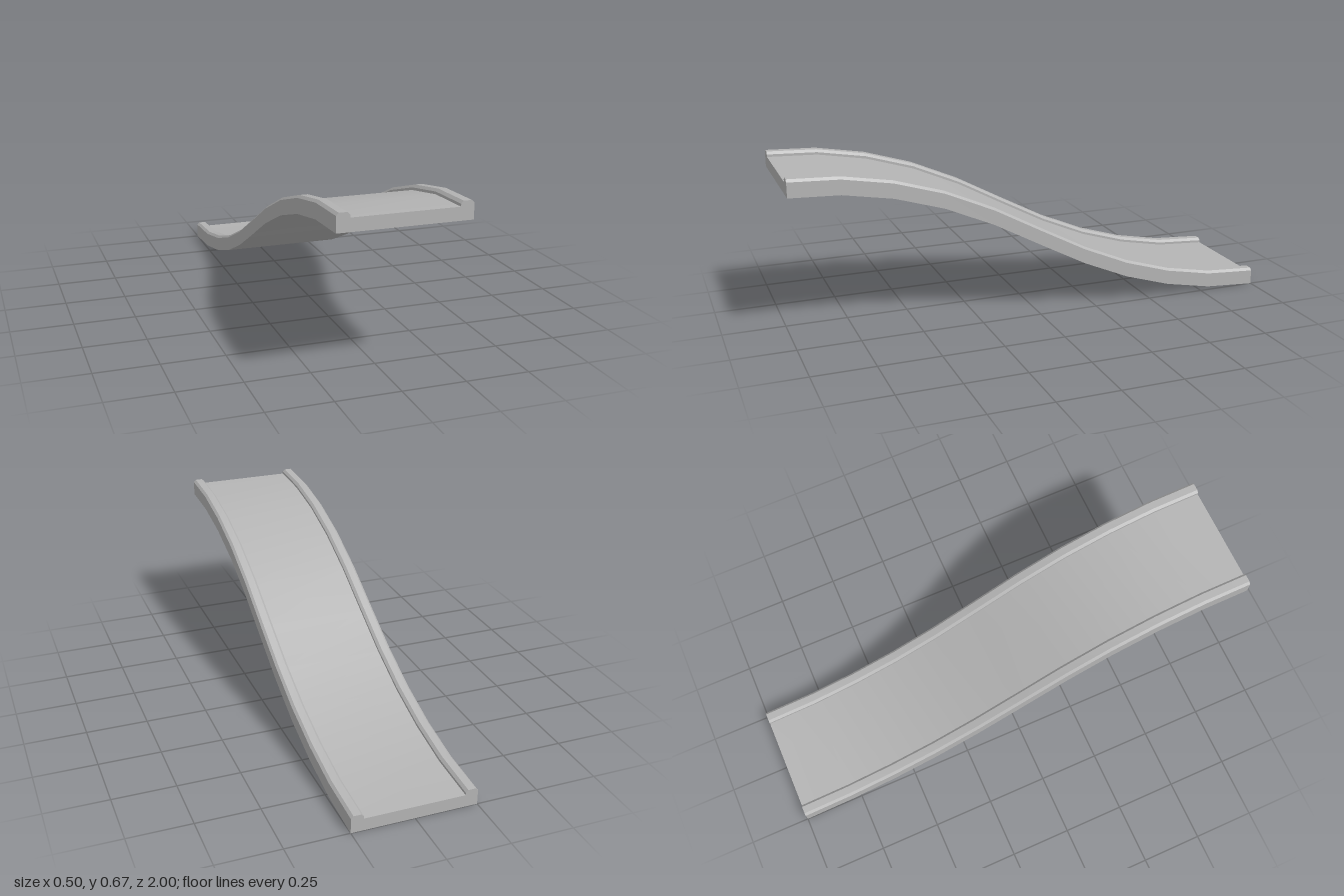
import * as THREE from 'three';

// Centre line of the underside: [z, y], from the high front to the low back
const path = [
  [1, 0.6], [0.8, 0.592], [0.6, 0.557], [0.4, 0.496], [0.2, 0.408], [0, 0.3],
  [-0.195, 0.197], [-0.39, 0.113], [-0.585, 0.053], [-0.785, 0.014], [-1, 0],
];

// Cross-section of the bed with a chamfered rail along each side
const rightHalf = [[0.25, 0], [0.25, 0.06], [0.24, 0.07], [0.21, 0.07], [0.2, 0.06], [0.2, 0.05]];
const section = [...rightHalf, ...rightHalf.map(([x, y]) => [-x, y]).reverse()];

// Sweeps the section along the path: smooth lengthwise, sharp at section corners
function sweep(profile, stations) {
  const pos = [], index = [];
  profile.forEach((a, i) => {
    const b = profile[(i + 1) % profile.length];
    const base = pos.length / 3;
    stations.forEach(([z, y], s) => {
      pos.push(a[0], y + a[1], z, b[0], y + b[1], z);
      if (s === 0) return;
      const k = base + 2 * (s - 1);
      index.push(k, k + 2, k + 1, k + 1, k + 2, k + 3);
    });
  });
  // End caps
  const faces = THREE.ShapeUtils.triangulateShape(profile.map(([x, y]) => new THREE.Vector2(x, y)), []);
  [stations[0], stations[stations.length - 1]].forEach(([z, y], end) => {
    const base = pos.length / 3;
    profile.forEach((p) => pos.push(p[0], y + p[1], z));
    faces.forEach(([a, b, c]) => {
      if (end === 0) index.push(base + a, base + b, base + c);
      else index.push(base + a, base + c, base + b);
    });
  });
  const geometry = new THREE.BufferGeometry();
  geometry.setAttribute('position', new THREE.Float32BufferAttribute(pos, 3));
  geometry.setIndex(index);
  geometry.computeVertexNormals();
  return geometry;
}

export function createModel() {
  const group = new THREE.Group();
  group.name = 'slopedTrack';
  const grey = new THREE.MeshStandardMaterial({ color: 0xb4b4b4 });
  grey.name = 'light grey';
  const track = new THREE.Mesh(sweep(section, path), grey);
  track.name = 'railedTrackBed';
  group.add(track);
  return group;
}
